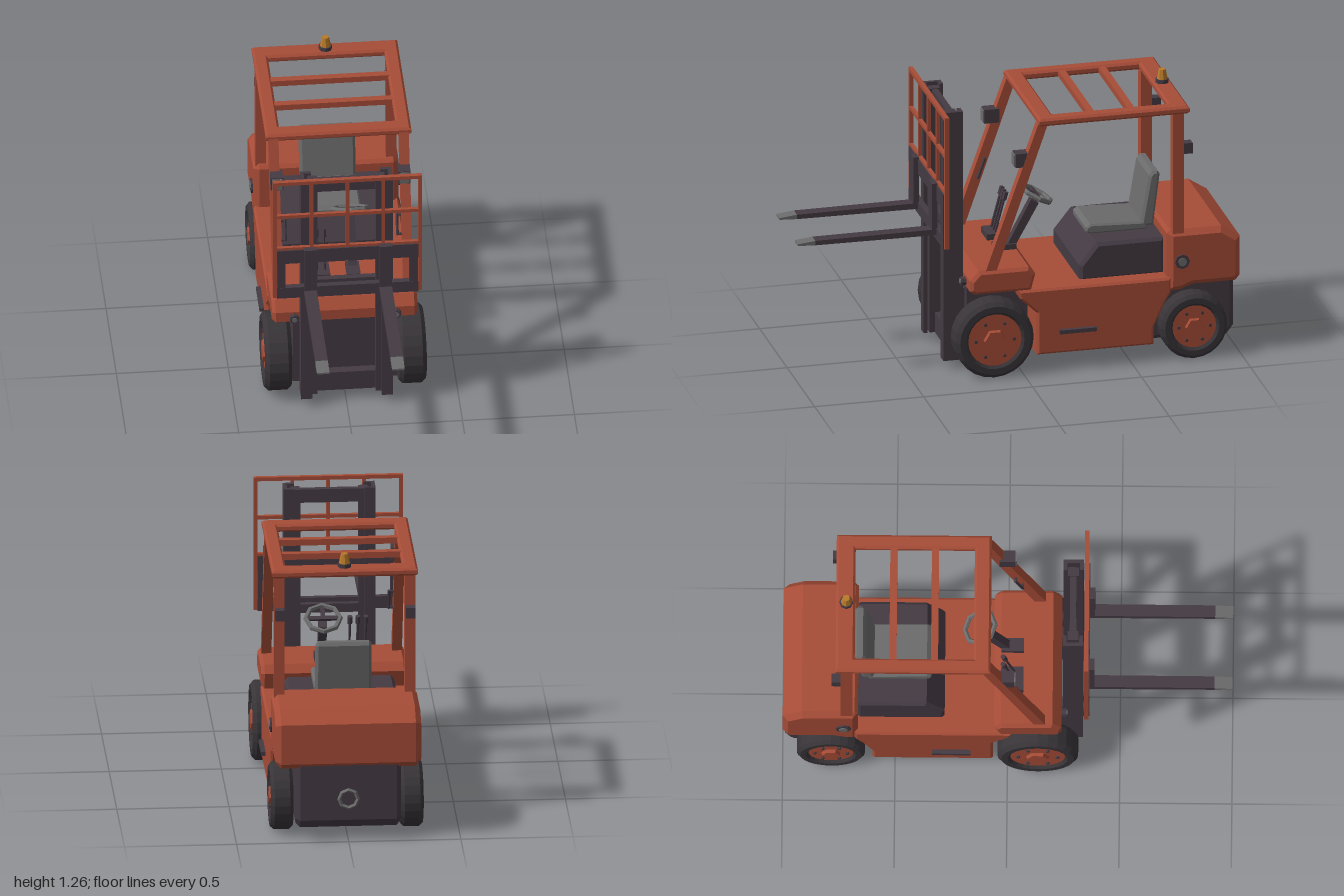
import * as THREE from 'three';

const mat = (name, color) => Object.assign(new THREE.MeshStandardMaterial({ color }), { name });

export function createModel() {
  const red = mat('rust red paint', 0xa64c37);
  const dark = mat('dark metal', 0x443a43);
  const rubber = mat('tyre rubber', 0x383438);
  const grey = mat('grey trim', 0x6c6b6c);
  const amber = mat('amber lamp', 0xb87a2a);
  const root = new THREE.Group();

  const add = (name, geo, material, parent = root) => {
    const m = new THREE.Mesh(geo, material);
    m.name = name;
    parent.add(m);
    return m;
  };
  // Box given by its min and max on each axis
  const box = (name, material, x0, x1, y0, y1, z0, z1, parent = root) => {
    const m = add(name, new THREE.BoxGeometry(x1 - x0, y1 - y0, z1 - z0), material, parent);
    m.position.set((x0 + x1) / 2, (y0 + y1) / 2, (z0 + z1) / 2);
    return m;
  };
  // Same box on both sides of x = 0
  const pair = (name, material, x0, x1, ...rest) => {
    box(name + 'Left', material, x0, x1, ...rest);
    box(name + 'Right', material, -x1, -x0, ...rest);
  };
  // Side profile of [z, y] points stretched across x with bevelled sides
  const profile = (name, material, pts, x0, x1, bevel = 0) => {
    const geo = new THREE.ExtrudeGeometry(new THREE.Shape(pts.map(p => new THREE.Vector2(...p))), {
      depth: x1 - x0 - 2 * bevel, bevelEnabled: bevel > 0, bevelSegments: 1,
      bevelSize: bevel, bevelThickness: bevel, bevelOffset: -bevel,
    });
    geo.translate(0, 0, bevel - x1).rotateY(-Math.PI / 2);
    return add(name, geo, material);
  };
  const facet = geo => {
    const g = geo.index ? geo.toNonIndexed() : geo;
    g.computeVertexNormals();
    return g;
  };
  // Rod between two points
  const rod = (name, material, a, b, r, sides = 6) => {
    const p = new THREE.Vector3(...a), q = new THREE.Vector3(...b), d = q.clone().sub(p);
    const m = add(name, facet(new THREE.CylinderGeometry(r, r, d.length(), sides)), material);
    m.position.copy(p).add(q).multiplyScalar(0.5);
    m.quaternion.setFromUnitVectors(new THREE.Vector3(0, 1, 0), d.normalize());
    return m;
  };

  // Chassis, cowl, counterweight and engine cover
  profile('chassis', red, [[0.02, 0.39], [0.01, 0.35], [-0.065, 0.28], [-0.065, 0.08], [-0.6, 0.08],
    [-0.6, 0.16], [-0.65, 0.27], [-0.68, 0.32], [-0.68, 0.39]], -0.325, 0.325, 0.01);
  profile('frontCowl', red, [[0.24, 0.405], [0.24, 0.455], [0.2, 0.5], [-0.03, 0.5], [-0.06, 0.465],
    [-0.04, 0.39], [0.22, 0.39]], -0.325, 0.325, 0.015);
  profile('counterweight', red, [[-0.665, 0.32], [-0.665, 0.595], [-0.68, 0.61], [-0.915, 0.61], [-1, 0.555],
    [-1, 0.37], [-0.98, 0.345], [-0.78, 0.345], [-0.73, 0.325]], -0.325, 0.325, 0.025);
  profile('engineCover', dark, [[-0.28, 0.38], [-0.28, 0.455], [-0.36, 0.555], [-0.67, 0.555], [-0.67, 0.38]],
    -0.245, 0.245, 0.015);
  box('frontAxleHousing', dark, -0.232, 0.232, 0.075, 0.405, -0.045, 0.235);
  profile('rearAxleHousing', dark, [[-0.59, 0.07], [-0.96, 0.06], [-0.99, 0.1], [-0.99, 0.36], [-0.59, 0.36]],
    -0.235, 0.235, 0.02);
  const ring = add('rearHitchRing', facet(new THREE.TorusGeometry(0.042, 0.009, 4, 8)), grey);
  ring.position.set(0, 0.2, -0.992);

  // Wheels
  const wheel = (name, side, R, rim, w, x, z) => {
    const g = new THREE.Group();
    g.name = name;
    const c = 0.1 * R, h = w / 2;
    const section = [[rim, -h], [R - c, -h], [R, -h + c], [R, h - c], [R - c, h], [rim + 0.012, h], [rim, h - 0.012], [rim, -h]];
    add('tyre', facet(new THREE.LatheGeometry(section.map(p => new THREE.Vector2(...p)), 24)), rubber, g);
    add('rim', facet(new THREE.CylinderGeometry(rim, rim, w - 0.024, 24)), red, g);
    const hub = add('hub', facet(new THREE.CylinderGeometry(rim * 0.38, rim * 0.44, 0.016, 6)), red, g);
    hub.position.y = h - 0.006;
    for (let i = 0; i < 6; i++) {
      const a = (i + 0.5) * Math.PI / 3;
      const nut = add('wheelNut', facet(new THREE.CylinderGeometry(0.008, 0.008, 0.01, 6)), dark, g);
      nut.position.set(Math.cos(a) * rim * 0.72, h - 0.009, Math.sin(a) * rim * 0.72);
    }
    g.rotation.z = -side * Math.PI / 2;
    g.position.set(side * x, R, z);
    root.add(g);
  };
  for (const s of [1, -1]) {
    wheel('frontWheel', s, 0.18, 0.122, 0.12, 0.3, 0.135);
    wheel('rearWheel', s, 0.152, 0.1, 0.1, 0.29, -0.785);
  }

  // Side steps, side caps and front signals
  pair('sideStep', dark, 0.32, 0.345, 0.177, 0.195, -0.335, -0.165);
  for (const s of [1, -1]) {
    rod('sideCap', dark, [s * 0.31, 0.465, -0.73], [s * 0.333, 0.465, -0.73], 0.034, 8);
    rod('sideCapCentre', grey, [s * 0.32, 0.465, -0.73], [s * 0.338, 0.465, -0.73], 0.02, 8);
    rod('frontSignal', dark, [s * 0.228, 0.428, 0.23], [s * 0.228, 0.428, 0.262], 0.021, 8);
    rod('frontSignalLens', grey, [s * 0.228, 0.428, 0.25], [s * 0.228, 0.428, 0.266], 0.012, 8);
  }

  // Seat
  profile('seatCushion', grey, [[-0.34, 0.565], [-0.34, 0.585], [-0.36, 0.6], [-0.62, 0.59], [-0.62, 0.555], [-0.36, 0.555]],
    -0.125, 0.125, 0.008);
  profile('seatBack', grey, [[-0.59, 0.57], [-0.63, 0.805], [-0.645, 0.825], [-0.67, 0.825], [-0.68, 0.81], [-0.65, 0.57]],
    -0.125, 0.125, 0.012);

  // Steering column and wheel
  box('columnBase', dark, 0.025, 0.085, 0.49, 0.525, -0.03, 0.07);
  profile('steeringColumn', dark, [[0.02, 0.5], [-0.1, 0.725], [-0.135, 0.705], [-0.02, 0.5]], 0.037, 0.075);
  const steer = new THREE.Group();
  steer.name = 'steeringWheel';
  add('steeringRim', facet(new THREE.TorusGeometry(0.077, 0.012, 6, 8)), grey, steer);
  box('steeringSpoke', dark, -0.075, 0.075, -0.01, 0.01, -0.006, 0.006, steer);
  box('steeringLowerSpoke', dark, -0.01, 0.01, -0.07, 0, -0.006, 0.006, steer);
  steer.position.set(0.055, 0.745, -0.125);
  steer.rotation.x = Math.PI + 1.06;
  root.add(steer);

  // Control levers
  box('leverBase', dark, -0.162, -0.05, 0.49, 0.528, -0.03, 0.07);
  for (const x of [-0.143, -0.107, -0.072]) {
    rod('lever', dark, [x, 0.52, 0.03], [x, 0.69, -0.015], 0.006);
    rod('leverKnob', dark, [x, 0.68, -0.012], [x, 0.715, -0.022], 0.012);
  }

  // Overhead guard
  const rect = (path, x0, x1, y0, y1) =>
    path.moveTo(x0, y0).lineTo(x1, y0).lineTo(x1, y1).lineTo(x0, y1).closePath();
  const roof = rect(new THREE.Shape(), -0.325, 0.325, -0.765, -0.075);
  roof.holes.push(rect(new THREE.Path(), -0.26, 0.26, -0.68, -0.15));
  const roofGeo = new THREE.ExtrudeGeometry(roof, { depth: 0.016, bevelSegments: 1, bevelSize: 0.01, bevelThickness: 0.01, bevelOffset: -0.01 });
  roofGeo.rotateX(Math.PI / 2);
  add('roofFrame', roofGeo, red).position.y = 1.19;
  for (const z of [-0.51, -0.325]) box('roofBar', red, -0.265, 0.265, 1.168, 1.196, z - 0.016, z + 0.016);
  pair('rearPillar', red, 0.268, 0.315, 0.58, 1.18, -0.742, -0.69);
  for (const s of [1, -1]) {
    const x = s * 0.291;
    profile('frontPillar', red, [[0.17, 0.49], [-0.075, 1.18], [-0.12, 1.18], [0.12, 0.49]], x - 0.022, x + 0.022);
    // Grab handle along the inside of the pillar
    rod('grabHandle', dark, [s * 0.25, 0.72, 0.063], [s * 0.25, 0.815, 0.029], 0.007);
    rod('grabHandleFoot', dark, [s * 0.245, 0.725, 0.061], [s * 0.275, 0.725, 0.061], 0.006);
    rod('grabHandleFoot', dark, [s * 0.245, 0.81, 0.031], [s * 0.275, 0.81, 0.031], 0.006);
  }
  pair('headlamp', dark, 0.257, 0.312, 0.975, 1.04, -0.04, 0.03);
  pair('headlampLens', grey, 0.262, 0.307, 0.98, 1.035, 0.03, 0.036);
  pair('rearLamp', dark, 0.27, 0.312, 0.97, 1.02, -0.782, -0.735);

  // Beacon
  rod('beaconBase', dark, [0, 1.19, -0.72], [0, 1.218, -0.72], 0.03, 8);
  add('beaconLamp', facet(new THREE.CylinderGeometry(0.016, 0.025, 0.045, 8)), amber).position.set(0, 1.24, -0.72);

  // Mast: outer channels with inner rails and cross members
  pair('mastWeb', dark, 0.188, 0.205, 0.045, 1.225, 0.245, 0.335);
  pair('mastFrontFlange', dark, 0.155, 0.19, 0.045, 1.225, 0.318, 0.335);
  pair('mastRearFlange', dark, 0.155, 0.19, 0.045, 1.225, 0.245, 0.262);
  pair('innerRail', dark, 0.13, 0.172, 0.055, 1.215, 0.266, 0.314);
  box('mastTopBar', dark, -0.135, 0.135, 1.15, 1.212, 0.275, 0.303);
  box('mastMiddleBar', dark, -0.135, 0.135, 0.63, 0.67, 0.275, 0.303);
  box('mastBottomBar', dark, -0.135, 0.135, 0.055, 0.15, 0.25, 0.29);
  pair('mastMount', dark, 0.14, 0.195, 0.1, 0.38, 0.225, 0.25);

  // Carriage
  box('carriageTopBar', dark, -0.315, 0.315, 0.81, 0.88, 0.337, 0.364);
  box('carriageBottomBar', dark, -0.315, 0.315, 0.622, 0.678, 0.337, 0.364);
  pair('carriageSide', dark, 0.277, 0.313, 0.67, 0.82, 0.338, 0.363);

  // Load backrest
  pair('backrestSide', red, 0.316, 0.333, 0.625, 1.25, 0.34, 0.36);
  for (const x of [-0.16, 0, 0.16]) box('backrestUpright', red, x - 0.008, x + 0.008, 0.87, 1.245, 0.342, 0.358);
  box('backrestTop', red, -0.33, 0.33, 1.233, 1.25, 0.34, 0.36);
  box('backrestMiddle', red, -0.32, 0.32, 1.052, 1.068, 0.342, 0.358);
  box('backrestLower', red, -0.32, 0.32, 0.878, 0.892, 0.342, 0.358);

  // Forks with tapered tips
  for (const x of [-0.168, 0.168]) {
    profile('fork', dark, [[0.36, 0.89], [0.386, 0.89], [0.386, 0.672], [0.92, 0.669], [0.92, 0.648], [0.36, 0.645]], x - 0.028, x + 0.028);
    profile('forkTip', grey, [[0.92, 0.669], [1, 0.66], [1, 0.652], [0.92, 0.648]], x - 0.028, x + 0.028);
  }
  return root;
}
